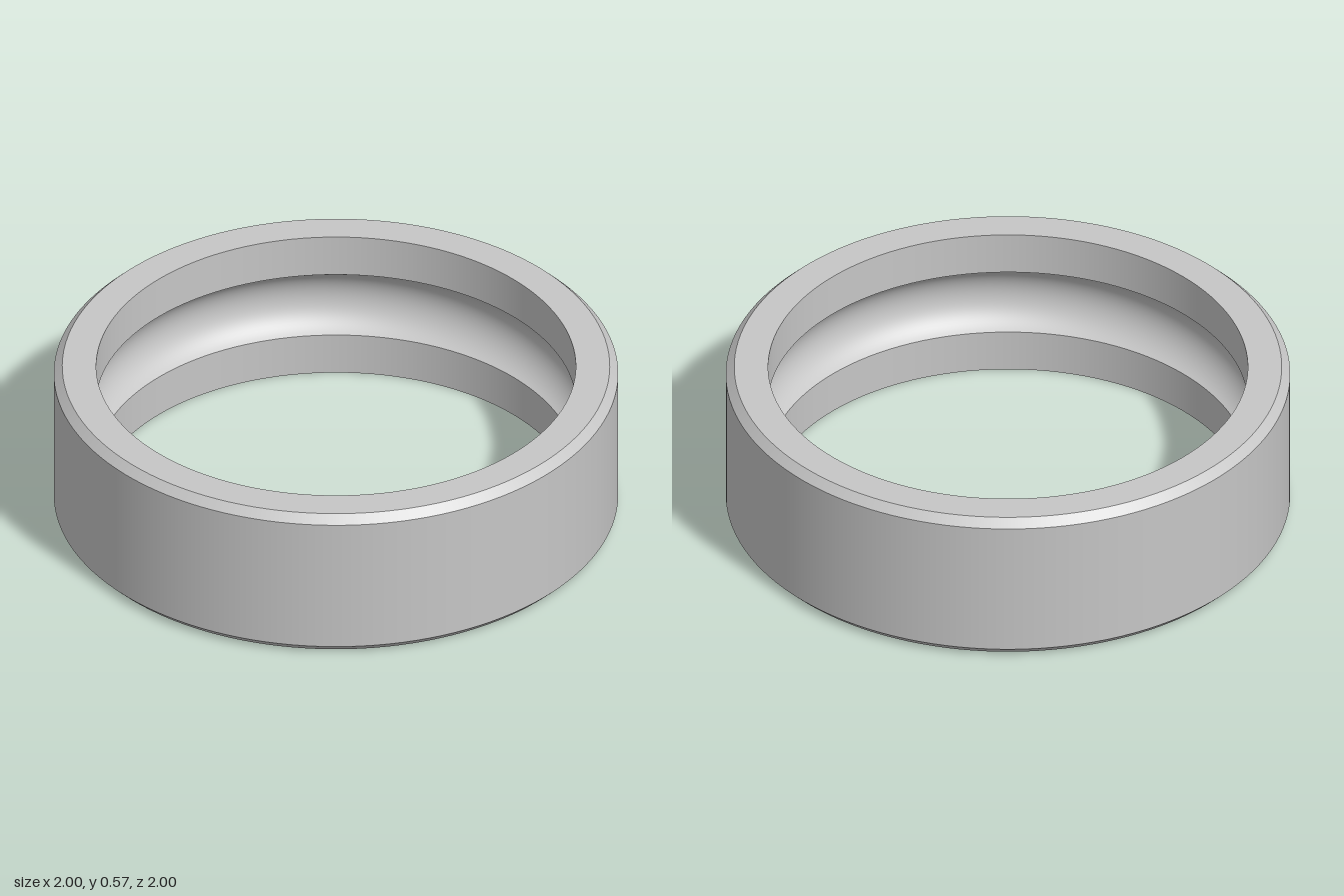
import * as THREE from 'three';

const HEIGHT = 0.57, OUTER = 1, INNER = 0.85, CHAMFER = 0.03;
const GROOVE_HALF = 0.127, GROOVE_DEPTH = 0.075;
const SEGMENTS = 128;

export function createModel() {
  const ring = new THREE.Group();
  ring.name = 'bearingOuterRing';
  const steel = new THREE.MeshStandardMaterial({ color: 0xc6c6c6 });
  steel.name = 'steel grey';

  // Each band is its own lathe, so edges between bands stay sharp
  const band = (name, points) => {
    const profile = points.map(([r, y]) => new THREE.Vector2(r, y));
    const mesh = new THREE.Mesh(new THREE.LatheGeometry(profile, SEGMENTS), steel);
    mesh.name = name;
    ring.add(mesh);
  };

  // Circular-arc ball track, listed from top to bottom
  const mid = HEIGHT / 2;
  const radius = (GROOVE_HALF ** 2 + GROOVE_DEPTH ** 2) / (2 * GROOVE_DEPTH);
  const centre = INNER + GROOVE_DEPTH - radius;
  const sweep = Math.asin(GROOVE_HALF / radius);
  const track = [];
  for (let i = 0; i <= 24; i++) {
    const a = sweep * (1 - i / 12);
    track.push([centre + radius * Math.cos(a), mid + radius * Math.sin(a)]);
  }

  // Outside, going up
  const rim = OUTER - CHAMFER;
  band('lowerChamfer', [[rim, 0], [OUTER, CHAMFER]]);
  band('outerWall', [[OUTER, CHAMFER], [OUTER, HEIGHT - CHAMFER]]);
  band('upperChamfer', [[OUTER, HEIGHT - CHAMFER], [rim, HEIGHT]]);
  band('topFace', [[rim, HEIGHT], [INNER, HEIGHT]]);

  // Inside, going down
  band('upperInnerWall', [[INNER, HEIGHT], [INNER, mid + GROOVE_HALF]]);
  band('ballTrack', track);
  band('lowerInnerWall', [[INNER, mid - GROOVE_HALF], [INNER, 0]]);
  band('bottomFace', [[INNER, 0], [rim, 0]]);

  return ring;
}
